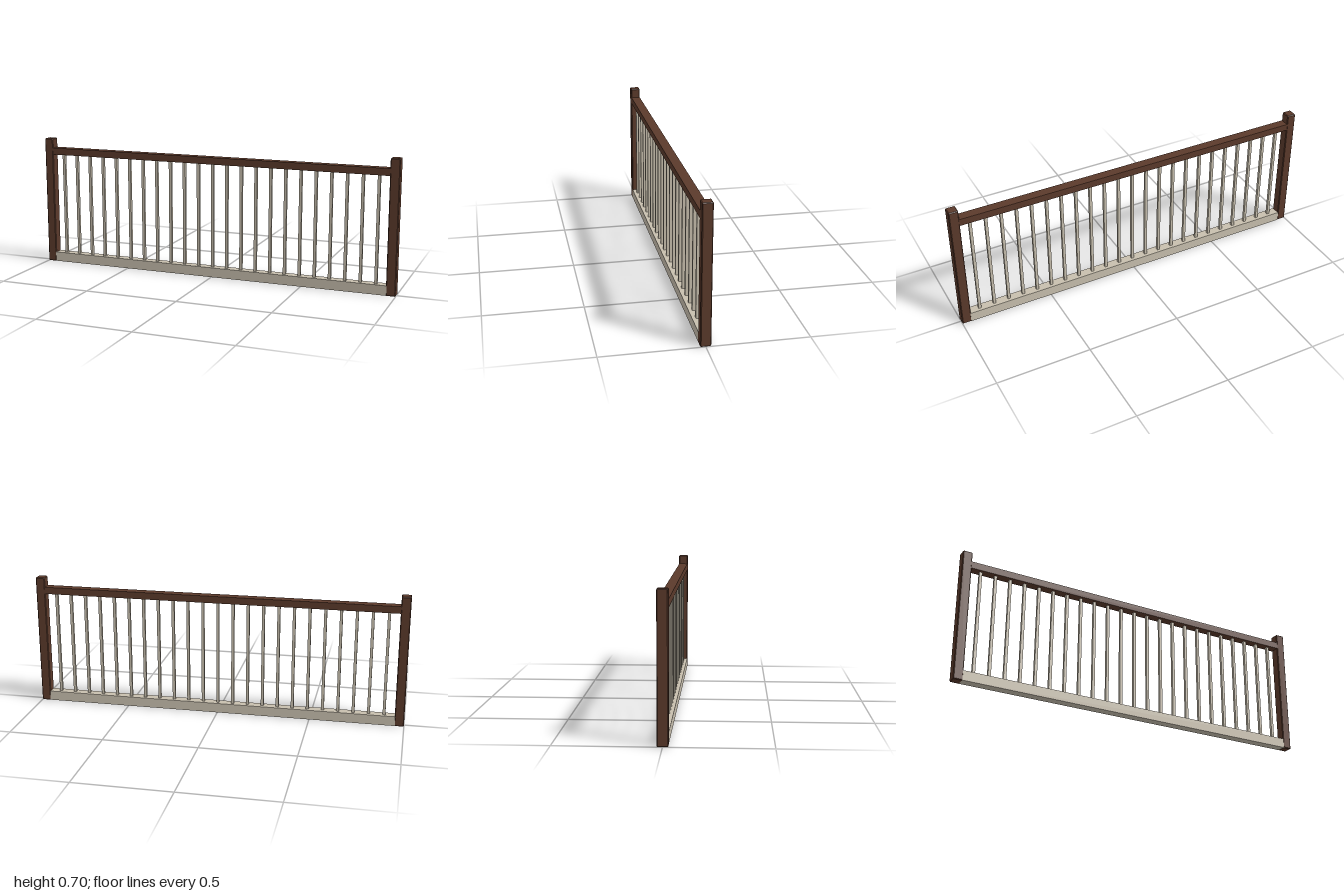
import * as THREE from 'three';
import { ConvexGeometry } from 'three/addons/geometries/ConvexGeometry.js';

// Box with every edge cut by a flat chamfer c
function chamferedBox(w, h, d, c) {
  const points = [];
  for (const sx of [-1, 1]) for (const sy of [-1, 1]) for (const sz of [-1, 1]) {
    const x = w / 2, y = h / 2, z = d / 2;
    points.push(
      new THREE.Vector3(sx * x, sy * (y - c), sz * (z - c)),
      new THREE.Vector3(sx * (x - c), sy * y, sz * (z - c)),
      new THREE.Vector3(sx * (x - c), sy * (y - c), sz * z)
    );
  }
  return new ConvexGeometry(points);
}

export function createModel() {
  const model = new THREE.Group();
  model.name = 'railing';

  const darkWood = new THREE.MeshStandardMaterial({ color: 0x5b3a2b });
  darkWood.name = 'dark brown wood';
  const paleWood = new THREE.MeshStandardMaterial({ color: 0xc8bfae });
  paleWood.name = 'pale beige';

  function add(name, geometry, material, x, y) {
    const mesh = new THREE.Mesh(geometry, material);
    mesh.name = name;
    mesh.position.set(x, y, 0);
    model.add(mesh);
  }

  // End posts
  const postHeight = 0.705, postWidth = 0.05;
  const post = chamferedBox(postWidth, postHeight, 0.052, 0.004);
  add('leftPost', post, darkWood, 1 - postWidth / 2, postHeight / 2);
  add('rightPost', post, darkWood, -1 + postWidth / 2, postHeight / 2);

  // Handrail and bottom rail, let into the posts
  const span = 1.91;
  add('handrail', new THREE.BoxGeometry(span, 0.037, 0.05), darkWood, 0, 0.6345);
  add('bottomRail', new THREE.BoxGeometry(span, 0.052, 0.05), paleWood, 0, 0.027);

  // Evenly spaced balusters between the rails
  const count = 23, spacing = 0.0812;
  const baluster = new THREE.BoxGeometry(0.015, 0.58, 0.015);
  for (let i = 0; i < count; i++) {
    add('baluster', baluster, paleWood, (i - (count - 1) / 2) * spacing, 0.335);
  }

  return model;
}
